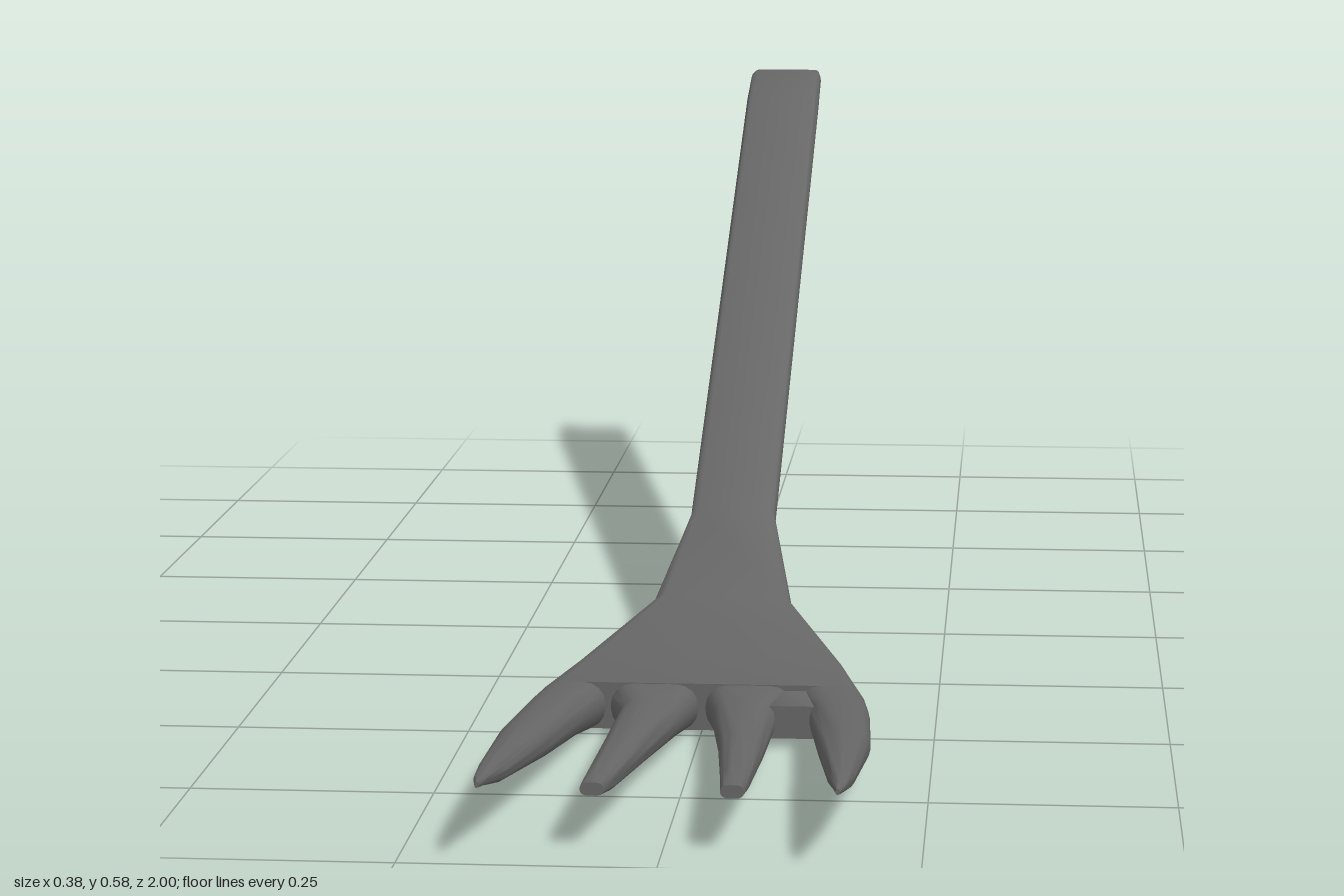
import * as THREE from 'three';
import { toCreasedNormals } from 'three/addons/utils/BufferGeometryUtils.js';

const metal = new THREE.MeshStandardMaterial({ color: 0x666666 });
metal.name = 'dark grey metal';

// Closed loft along +z; each section is [z, xMin, xMax, yBottom, yTop, edge rounding]
function loft(name, sections) {
  const pos = [], idx = [], steps = 4, n = 4 * (steps + 1);
  for (const [z, x0, x1, y0, y1, c] of sections) {
    const cx = (x0 + x1) / 2, cy = (y0 + y1) / 2;
    const w = (x1 - x0) / 2, h = (y1 - y0) / 2;
    const r = Math.min(c, w * 0.95), v = h * 0.88;
    for (let q = 0; q < 4; q++) {
      const sx = q === 0 || q === 3 ? 1 : -1, sy = q < 2 ? 1 : -1;
      for (let k = 0; k <= steps; k++) {
        const a = (q + k / steps) * Math.PI / 2;
        pos.push(cx + sx * (w - r) + r * Math.cos(a), cy + sy * (h - v) + v * Math.sin(a), z);
      }
    }
  }
  const last = (sections.length - 1) * n;
  for (let i = 0; i < last; i += n) {
    for (let j = 0; j < n; j++) {
      const a = i + j, b = i + (j + 1) % n;
      idx.push(a, b, a + n, b, b + n, a + n);
    }
  }
  for (let j = 1; j < n - 1; j++) {
    idx.push(0, j + 1, j, last, last + j, last + j + 1);
  }
  const g = new THREE.BufferGeometry();
  g.setAttribute('position', new THREE.Float32BufferAttribute(pos, 3));
  g.setIndex(idx);
  const mesh = new THREE.Mesh(toCreasedNormals(g, 0.7), metal);
  mesh.name = name;
  return mesh;
}

export function createModel() {
  const fork = new THREE.Group();
  fork.name = 'fork';

  // Straight handle flaring into the curved palm: [z, half width, yBottom, yTop, rounding]
  const body = [
    [-1, 0.045, 0.577, 0.587, 0.006],
    [-0.975, 0.049, 0.56, 0.587, 0.008],
    [-0.9, 0.05, 0.529, 0.563, 0.008],
    [0.03, 0.05, 0.124, 0.158, 0.008],
    [0.19, 0.08, 0.051, 0.088, 0.014],
    [0.36, 0.15, 0.005, 0.057, 0.022],
    [0.48, 0.176, 0.004, 0.055, 0.024],
  ];
  fork.add(loft('handleAndPalm', body.map(([z, w, y0, y1, c]) => [z, -w, w, y0, y1, c])));

  // Tines, listed for the +x side
  const outer = [
    [0.42, 0.108, 0.16, 0.008, 0.052, 0.022],
    [0.48, 0.104, 0.176, 0.003, 0.055, 0.024],
    [0.54, 0.119, 0.183, 0.008, 0.056, 0.024],
    [0.7, 0.135, 0.19, 0.026, 0.067, 0.024],
    [0.9, 0.156, 0.183, 0.056, 0.081, 0.012],
    [0.97, 0.165, 0.178, 0.072, 0.084, 0.006],
    [1, 0.169, 0.173, 0.078, 0.084, 0.002],
  ];
  const inner = [
    [0.42, 0.01, 0.095, 0.008, 0.052, 0.022],
    [0.48, 0.004, 0.098, 0.003, 0.054, 0.024],
    [0.54, 0.016, 0.083, 0.007, 0.053, 0.024],
    [0.7, 0.035, 0.082, 0.022, 0.06, 0.02],
    [0.88, 0.051, 0.08, 0.044, 0.07, 0.011],
    [0.947, 0.056, 0.079, 0.058, 0.071, 0.007],
  ];
  for (const s of [1, -1]) {
    const side = s > 0 ? 'left' : 'right';
    const place = (list) => list.map(([z, a, b, ...rest]) =>
      (s > 0 ? [z, a, b, ...rest] : [z, -b, -a, ...rest]));
    fork.add(loft(side + 'OuterTine', place(outer)));
    fork.add(loft(side + 'InnerTine', place(inner)));
  }

  // Square-ended web in the left slot
  fork.add(loft('leftSlotWeb', [
    [0.45, 0.07, 0.135, 0.008, 0.05, 0.004],
    [0.54, 0.07, 0.135, 0.012, 0.047, 0.004],
  ]));
  return fork;
}
